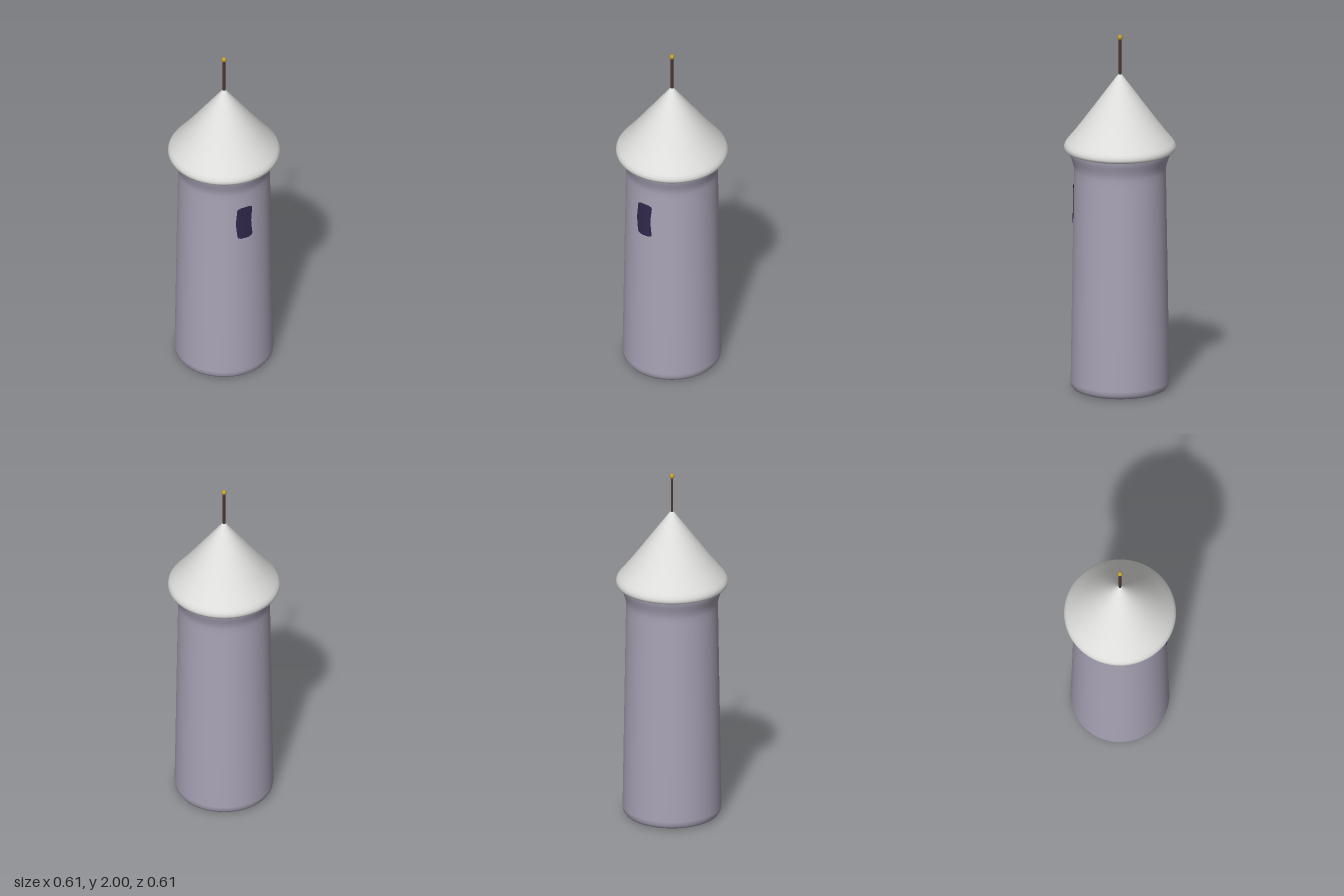
import * as THREE from 'three';

const material = (name, color, side = THREE.FrontSide) => {
  const m = new THREE.MeshStandardMaterial({ color, side });
  m.name = name;
  return m;
};

// Wall radius at height y along the straight tapered part
const wallRadius = (y) => THREE.MathUtils.mapLinear(y, 0.05, 1.24, 0.27, 0.251);

const lathe = (points, segments) =>
  new THREE.LatheGeometry(points.map(([r, y]) => new THREE.Vector2(r, y)), segments);

// Thin plate wrapped round the wall, with rounded corners and slightly uneven sides
function windowGeometry() {
  const g = new THREE.PlaneGeometry(2, 2, 10, 24);
  const p = g.attributes.position;
  for (let i = 0; i < p.count; i++) {
    const u = p.getX(i), v = p.getY(i);
    const y = 1.045 + v * 0.103;
    const corner = Math.max(0, Math.abs(v) - 0.82) / 0.18;
    const half = 0.046 - 0.02 * (1 - Math.sqrt(1 - Math.min(1, corner * corner)));
    const x = u * half - 0.004 * Math.cos(v * 3);
    const r = wallRadius(y) + 0.003;
    const a = x / r;
    p.setXYZ(i, r * Math.sin(a), y, r * Math.cos(a));
  }
  g.computeVertexNormals();
  return g;
}

export function createModel() {
  const model = new THREE.Group();
  model.name = 'tower';
  const stone = material('lavender stone', 0xaaa4b7);
  const roofing = material('pale roof', 0xdededc);
  const dark = material('dark window', 0x30284c, THREE.DoubleSide);
  const wood = material('dark pole', 0x4a3a30);
  const gold = material('gold', 0xc4a02c);

  const add = (name, geometry, mat, y = 0) => {
    const mesh = new THREE.Mesh(geometry, mat);
    mesh.name = name;
    mesh.position.set(-0.003, y, 0.002);
    model.add(mesh);
    return mesh;
  };

  // Tapered wall with rounded foot and flared top
  add('wall', lathe([
    [0, 0], [0.225, 0.001], [0.24, 0.003], [0.257, 0.01], [0.267, 0.026], [0.27, 0.05],
    [wallRadius(0.4), 0.4], [wallRadius(0.8), 0.8], [wallRadius(1.2), 1.2],
    [0.251, 1.24], [0.254, 1.265], [0.261, 1.29], [0.27, 1.315], [0.276, 1.335], [0.278, 1.355],
  ], 64), stone);

  // Conical roof with a rounded rim and flat underside
  add('roof', lathe([
    [0, 1.348], [0.27, 1.348], [0.29, 1.348], [0.302, 1.353], [0.307, 1.366], [0.304, 1.382],
    [0.293, 1.4], [0.256, 1.445], [0.211, 1.503], [0.14, 1.6], [0.07, 1.696],
    [0.025, 1.757], [0.013, 1.772], [0.006, 1.778], [0, 1.78],
  ], 64), roofing);

  add('window', windowGeometry(), dark);

  // Finial
  add('pole', new THREE.CylinderGeometry(0.007, 0.007, 0.23, 12), wood, 1.87);
  add('finialBall', new THREE.SphereGeometry(0.013, 16, 12), gold, 1.985).scale.y = 1.15;

  return model;
}
